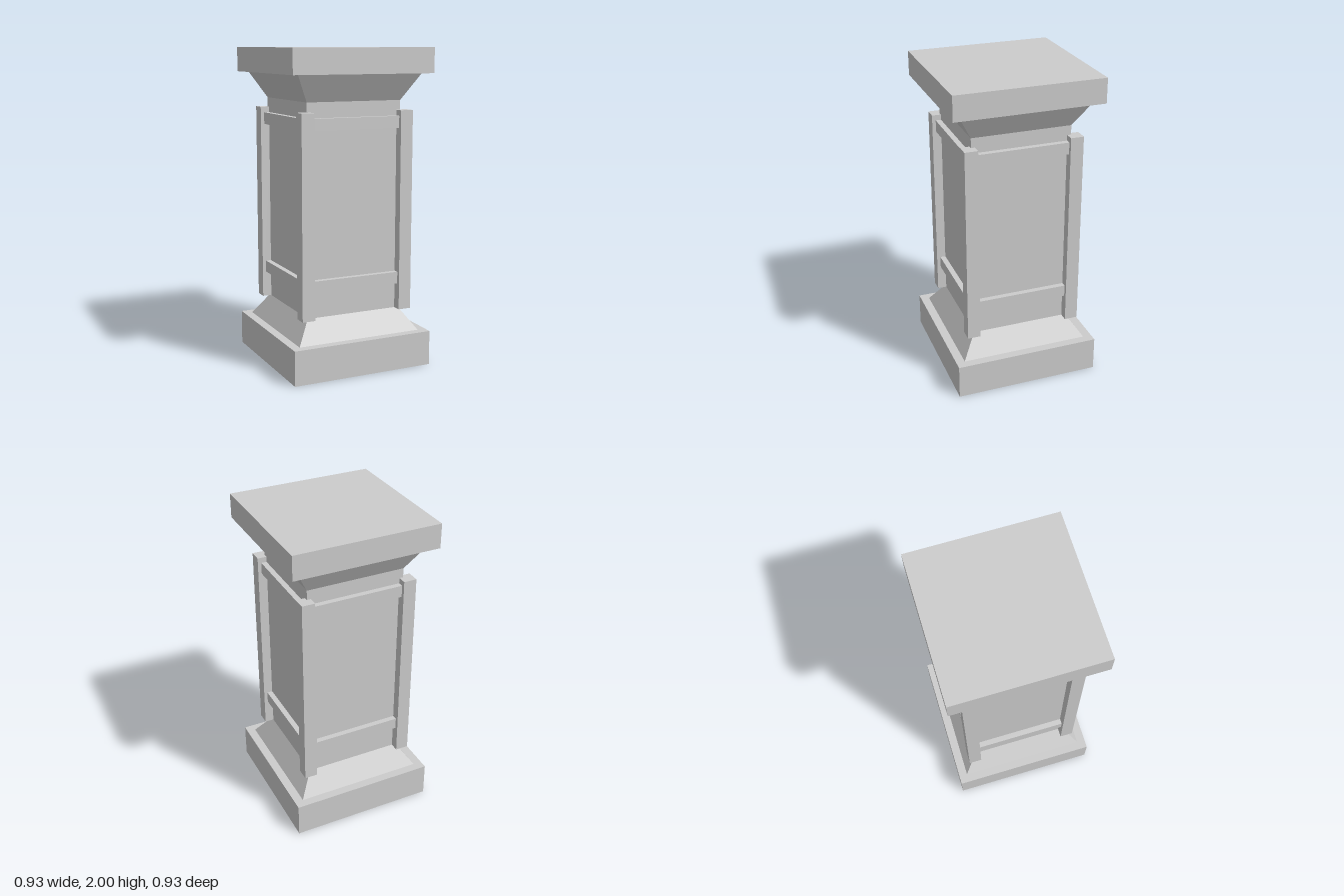
import * as THREE from 'three';

export function createModel() {
  const model = new THREE.Group();
  model.name = 'pedestal';
  const stone = new THREE.MeshStandardMaterial({ color: 0xcccccc });
  stone.name = 'grey stone';

  const add = (name, geometry, x, y, z, parent = model) => {
    const mesh = new THREE.Mesh(geometry, stone);
    mesh.name = name;
    mesh.position.set(x, y, z);
    parent.add(mesh);
  };

  // Square block between two heights, given its half width
  const block = (name, half, y0, y1) =>
    add(name, new THREE.BoxGeometry(half * 2, y1 - y0, half * 2), 0, (y0 + y1) / 2, 0);

  // Square tapered moulding, sides aligned to the axes
  const taper = (name, bottom, top, y0, y1) => {
    const g = new THREE.CylinderGeometry(top * Math.SQRT2, bottom * Math.SQRT2, y1 - y0, 4)
      .rotateY(Math.PI / 4).toNonIndexed();
    g.computeVertexNormals();
    add(name, g, 0, (y0 + y1) / 2, 0);
  };

  block('plinth', 0.465, 0, 0.22);
  taper('baseMoulding', 0.41, 0.315, 0.22, 0.36);
  block('shaft', 0.315, 0.36, 1.68);
  taper('capMoulding', 0.315, 0.41, 1.68, 1.845);
  block('capSlab', 0.465, 1.845, 2);

  // Corner posts
  const postGeometry = new THREE.BoxGeometry(0.083, 1.26, 0.083);
  for (const x of [-1, 1])
    for (const z of [-1, 1])
      add('cornerPost', postGeometry, x * 0.3315, 0.99, z * 0.3315);

  // Two horizontal rails on every side
  const railGeometry = new THREE.BoxGeometry(0.6, 0.075, 0.045);
  for (let i = 0; i < 4; i++) {
    const side = new THREE.Group();
    side.name = 'sideRails';
    side.rotation.y = i * Math.PI / 2;
    add('lowerRail', railGeometry, 0, 0.5625, 0.3275, side);
    add('upperRail', railGeometry, 0, 1.5475, 0.3275, side);
    model.add(side);
  }
  return model;
}
